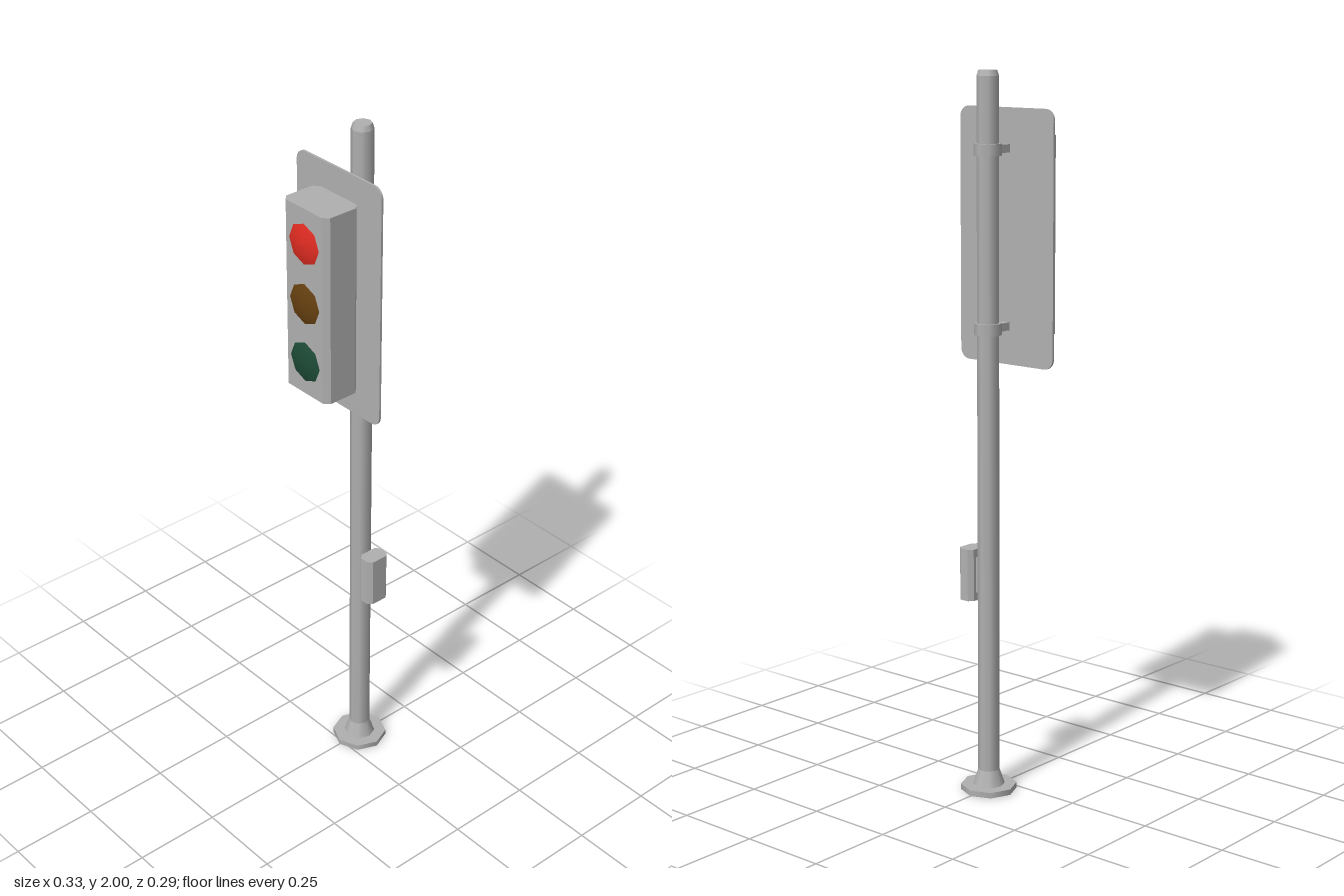
import * as THREE from 'three';

const POLE_Z = -0.065;

export function createModel() {
  const model = new THREE.Group();
  model.name = 'trafficLight';

  const paint = (name, color) => {
    const m = new THREE.MeshStandardMaterial({ color });
    m.name = name;
    return m;
  };
  const grey = paint('galvanised grey', 0xb0b0b0);
  const red = paint('lit red', 0xe02c22);
  const amber = paint('dark amber', 0x664010);
  const green = paint('dark green', 0x1d4a36);

  const add = (name, geometry, material, x, y, z) => {
    const mesh = new THREE.Mesh(geometry, material);
    mesh.name = name;
    mesh.position.set(x, y, z);
    model.add(mesh);
    return mesh;
  };

  // Eight-sided section, vertices on the axes
  const octagon = (name, rTop, rBottom, y0, y1, open = false) =>
    add(name, new THREE.CylinderGeometry(rTop, rBottom, y1 - y0, 8, 1, open), grey, 0, (y0 + y1) / 2, POLE_Z);

  // Rectangle with cut corners
  const cutRect = (w, h, c) => {
    const x = w / 2, y = h / 2;
    return new THREE.Shape([
      [-x + c, -y], [x - c, -y], [x, -y + c], [x, y - c],
      [x - c, y], [-x + c, y], [-x, y - c], [-x, -y + c],
    ].map(([px, py]) => new THREE.Vector2(px, py)));
  };

  // Upright box with chamfered vertical edges
  const chamferBox = (name, w, h, d, c, x, y, z) => {
    const g = new THREE.ExtrudeGeometry(cutRect(w, d, c), { depth: h, bevelEnabled: false });
    g.translate(0, 0, -h / 2).rotateX(-Math.PI / 2);
    return add(name, g, grey, x, y, z);
  };

  // Pole and foot
  octagon('basePlate', 0.079, 0.079, 0, 0.016);
  octagon('footFlare', 0.03, 0.045, 0.016, 0.06, true);
  octagon('pole', 0.03, 0.03, 0.06, 1.985, true);
  octagon('poleCap', 0.025, 0.03, 1.985, 2);

  // Clamps holding the backboard
  for (const y of [1.312, 1.792]) {
    octagon('clampRing', 0.038, 0.038, y - 0.016, y + 0.016);
    add('clampArm', new THREE.BoxGeometry(0.026, 0.022, 0.05), grey, 0, y, -0.014);
  }

  // Backboard with rounded corners
  const w = 0.163, h = 0.347, r = 0.03;
  const board = new THREE.Shape();
  board.absarc(w - r, h - r, r, 0, Math.PI / 2);
  board.absarc(-w + r, h - r, r, Math.PI / 2, Math.PI);
  board.absarc(-w + r, -h + r, r, Math.PI, Math.PI * 1.5);
  board.absarc(w - r, -h + r, r, Math.PI * 1.5, Math.PI * 2);
  add('backboard', new THREE.ExtrudeGeometry(board, { depth: 0.006, bevelEnabled: false, curveSegments: 4 }),
    grey, 0, 1.553, 0.01);

  // Signal housing and push-button box
  chamferBox('signalHousing', 0.17, 0.54, 0.115, 0.015, 0, 1.555, 0.0735);
  chamferBox('buttonBox', 0.05, 0.147, 0.073, 0.012, 0.058, 0.622, -0.0645);
  add('buttonBoxMount', new THREE.BoxGeometry(0.02, 0.1, 0.03), grey, 0.03, 0.622, POLE_Z);

  // Shallow domed lenses
  const profile = [[0.058, 0], [0.044, 0.005], [0.024, 0.009], [0, 0.011]]
    .map(([x, y]) => new THREE.Vector2(x, y));
  const lens = new THREE.LatheGeometry(profile, 8).rotateX(Math.PI / 2);
  add('redLens', lens, red, 0, 1.725, 0.131);
  add('amberLens', lens, amber, 0, 1.553, 0.131);
  add('greenLens', lens, green, 0, 1.381, 0.131);

  return model;
}
